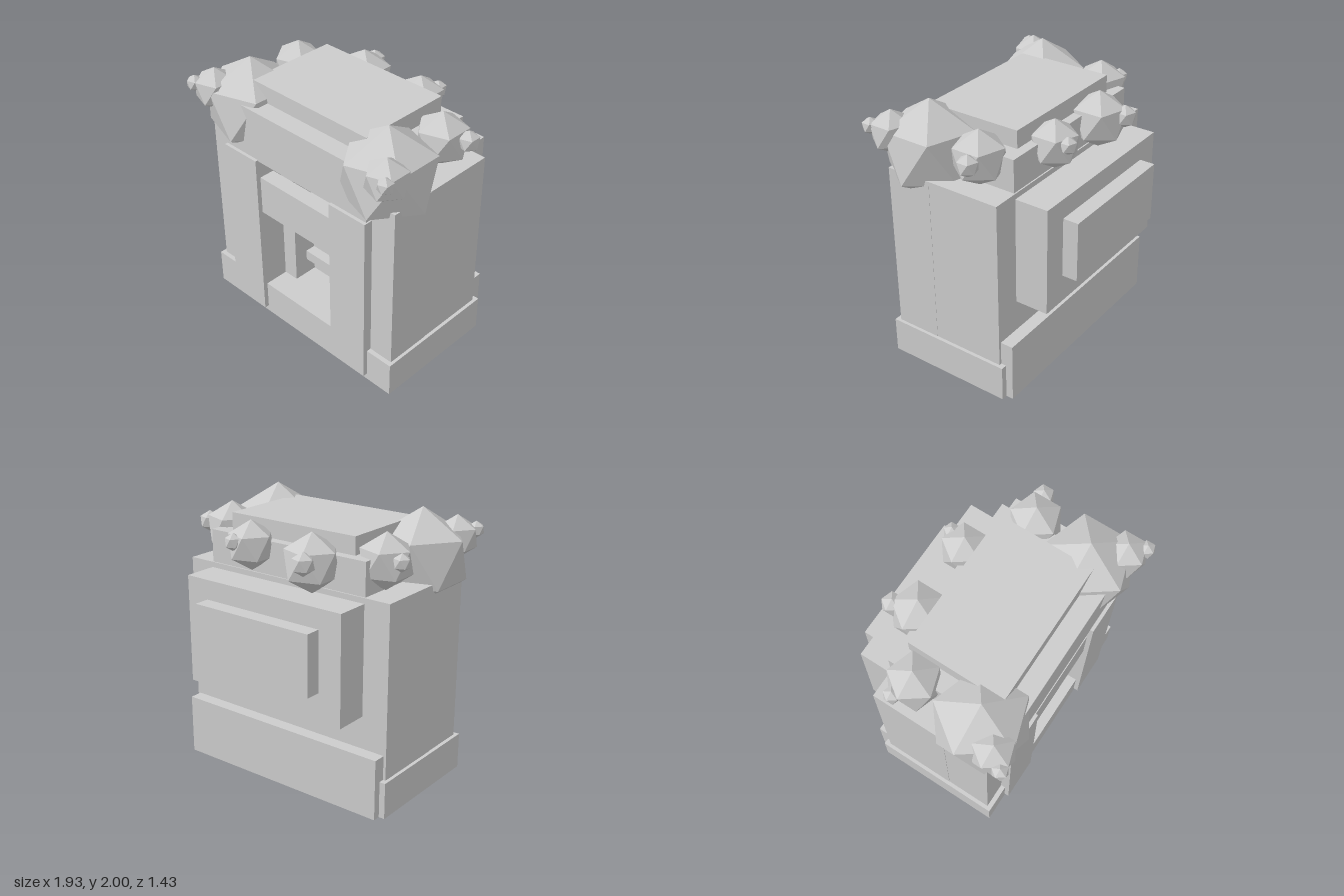
import * as THREE from 'three';

export function createModel() {
  const model = new THREE.Group();
  model.name = 'stoneFireplace';
  const stone = new THREE.MeshStandardMaterial({ color: 0xcccccc });
  stone.name = 'stone grey';

  // box from its min and max corners
  function block(name, x0, x1, y0, y1, z0, z1) {
    const mesh = new THREE.Mesh(new THREE.BoxGeometry(x1 - x0, y1 - y0, z1 - z0), stone);
    mesh.position.set((x0 + x1) / 2, (y0 + y1) / 2, (z0 + z1) / 2);
    mesh.name = name;
    model.add(mesh);
  }

  // base, and body with a recess open to the front
  block('base', -0.9, 0.895, 0, 0.27, -0.39, 0.58);
  block('bodyBack', -0.875, 0.87, 0.27, 1.53, -0.35, 0.2);
  block('bodyLintel', -0.36, 0.355, 1.38, 1.53, 0.2, 0.545);
  for (const s of [-1, 1]) {
    const side = s < 0 ? 'right' : 'left';
    const pair = (name, a, b, ...rest) =>
      block(side + name, Math.min(s * a, s * b), Math.max(s * a, s * b), ...rest);
    pair('BodyWall', 0.358, 0.872, 0.27, 1.53, 0.2, 0.545);
    pair('FrontPillar', 0.356, 0.68, 0.05, 1.39, 0.4, 0.615);
    pair('InnerJamb', 0.235, 0.358, 0.27, 1.38, 0.2, 0.39);
  }

  // crossbeam and slats inside the recess
  block('crossbeam', -0.36, 0.355, 0.94, 1.24, 0.46, 0.58);
  for (const [y0, y1] of [[0.4, 0.48], [0.66, 0.73], [0.905, 0.98]])
    block('slat', -0.24, 0.235, y0, y1, 0.2, 0.28);

  // stepped cap
  block('mantel', -0.675, 0.67, 1.38, 1.77, -0.34, 0.59);
  block('topSlab', -0.54, 0.535, 1.77, 1.9, -0.27, 0.45);

  // stepped back panels
  block('backPlinth', -0.855, 0.85, 0, 0.45, -0.445, -0.35);
  block('backPanel', -0.675, 0.67, 0.69, 1.49, -0.6, -0.35);
  block('backInnerPanel', -0.495, 0.49, 0.9, 1.345, -0.715, -0.6);

  // rocks: icosahedra standing on a point
  const rockShape = new THREE.IcosahedronGeometry(1, 0);
  rockShape.rotateZ(Math.atan(2 / (1 + Math.sqrt(5))));
  const rocks = [
    // x, y, z, radius
    [-0.65, 1.643, 0.36, 0.356], [0.64, 1.643, 0.36, 0.356],
    [-0.81, 1.77, 0.555, 0.16], [0.805, 1.77, 0.555, 0.16],
    [-0.9, 1.815, 0.66, 0.062], [0.89, 1.815, 0.66, 0.062],
    [-0.69, 1.73, -0.13, 0.2], [0.7, 1.73, -0.09, 0.2],
    [-0.85, 1.76, -0.19, 0.065], [0.88, 1.76, -0.14, 0.08],
    [-0.27, 1.7, -0.38, 0.212], [0.265, 1.73, -0.375, 0.18],
    [-0.33, 1.74, -0.55, 0.085], [0.31, 1.77, -0.51, 0.065],
  ];
  for (const [x, y, z, r] of rocks) {
    const rock = new THREE.Mesh(rockShape, stone);
    rock.name = 'rock';
    rock.position.set(x, y, z);
    rock.scale.setScalar(r);
    model.add(rock);
  }
  return model;
}
